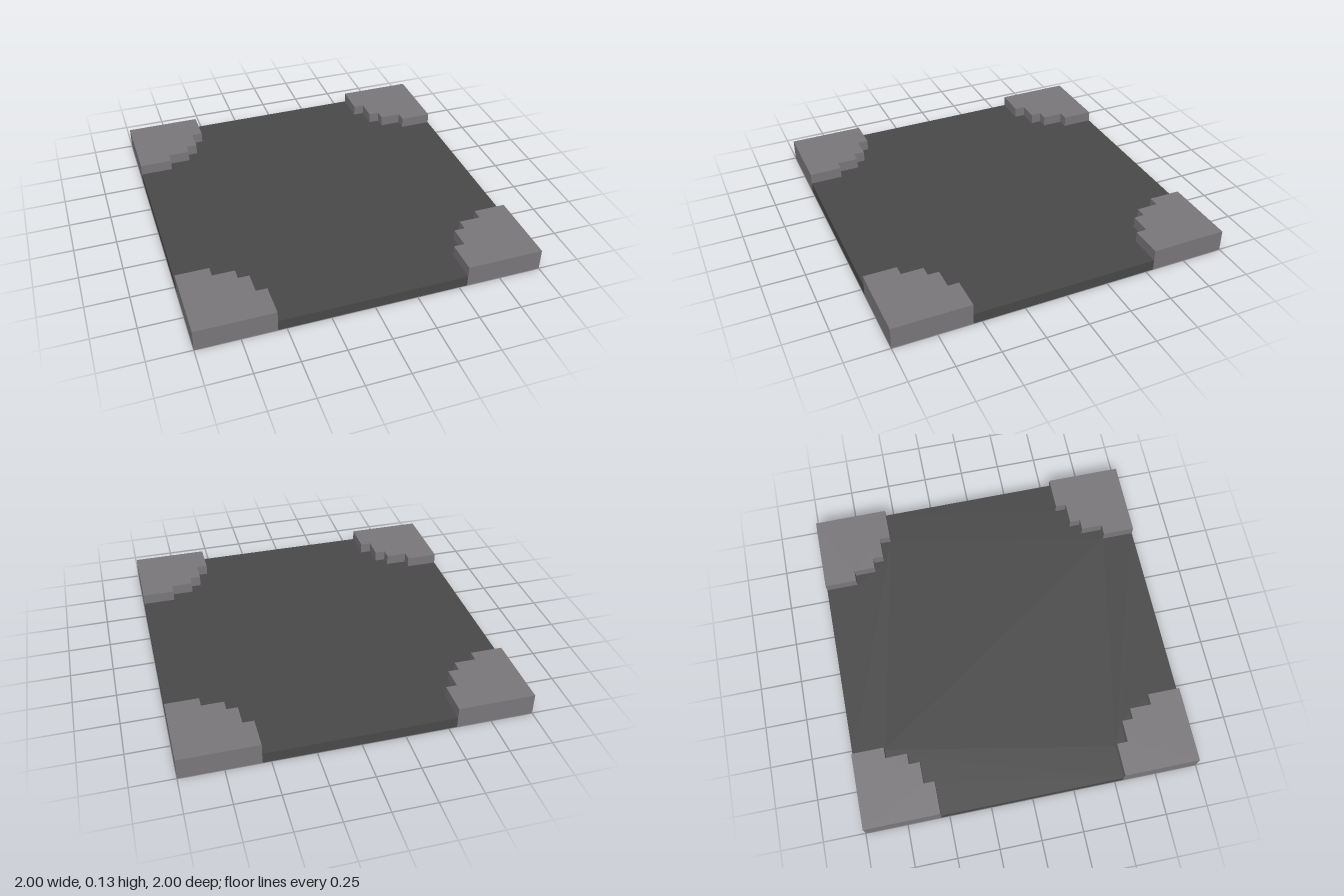
import * as THREE from 'three';

const U = 2 / 31; // one block of the grid

// Stepped edge of one corner, in blocks from the centre
const STEPS = [
  [15.5, 8.5], [12.5, 8.5], [12.5, 9.5], [10.5, 9.5],
  [10.5, 10.5], [9.5, 10.5], [9.5, 12.5], [8.5, 12.5], [8.5, 15.5],
];

// Upright slab standing on y = 0 from a flat outline
function slab(points, height, material, name) {
  const shape = new THREE.Shape(points.map(([x, y]) => new THREE.Vector2(x * U, y * U)));
  const geometry = new THREE.ExtrudeGeometry(shape, { depth: height * U, bevelEnabled: false });
  geometry.rotateX(-Math.PI / 2);
  const mesh = new THREE.Mesh(geometry, material);
  mesh.name = name;
  return mesh;
}

export function createModel() {
  const asphalt = new THREE.MeshStandardMaterial({ color: 0x4a4a4a });
  asphalt.name = 'asphalt';
  const paving = new THREE.MeshStandardMaterial({ color: 0x7c797c });
  paving.name = 'paving';

  const model = new THREE.Group();
  model.name = 'roadCrossing';

  // Road: the stepped edge turned through all four quarters
  const outline = [];
  for (let q = 0; q < 4; q++) {
    for (let [x, y] of STEPS) {
      for (let i = 0; i < q; i++) [x, y] = [-y, x];
      outline.push([x, y]);
    }
  }
  model.add(slab(outline, 1, asphalt, 'road'));

  // Raised pavement in each corner
  const corner = [...STEPS, [15.5, 15.5]];
  for (let q = 0; q < 4; q++) {
    const pavement = slab(corner, 2, paving, 'pavementCorner' + (q + 1));
    pavement.rotation.y = q * Math.PI / 2;
    model.add(pavement);
  }
  return model;
}
